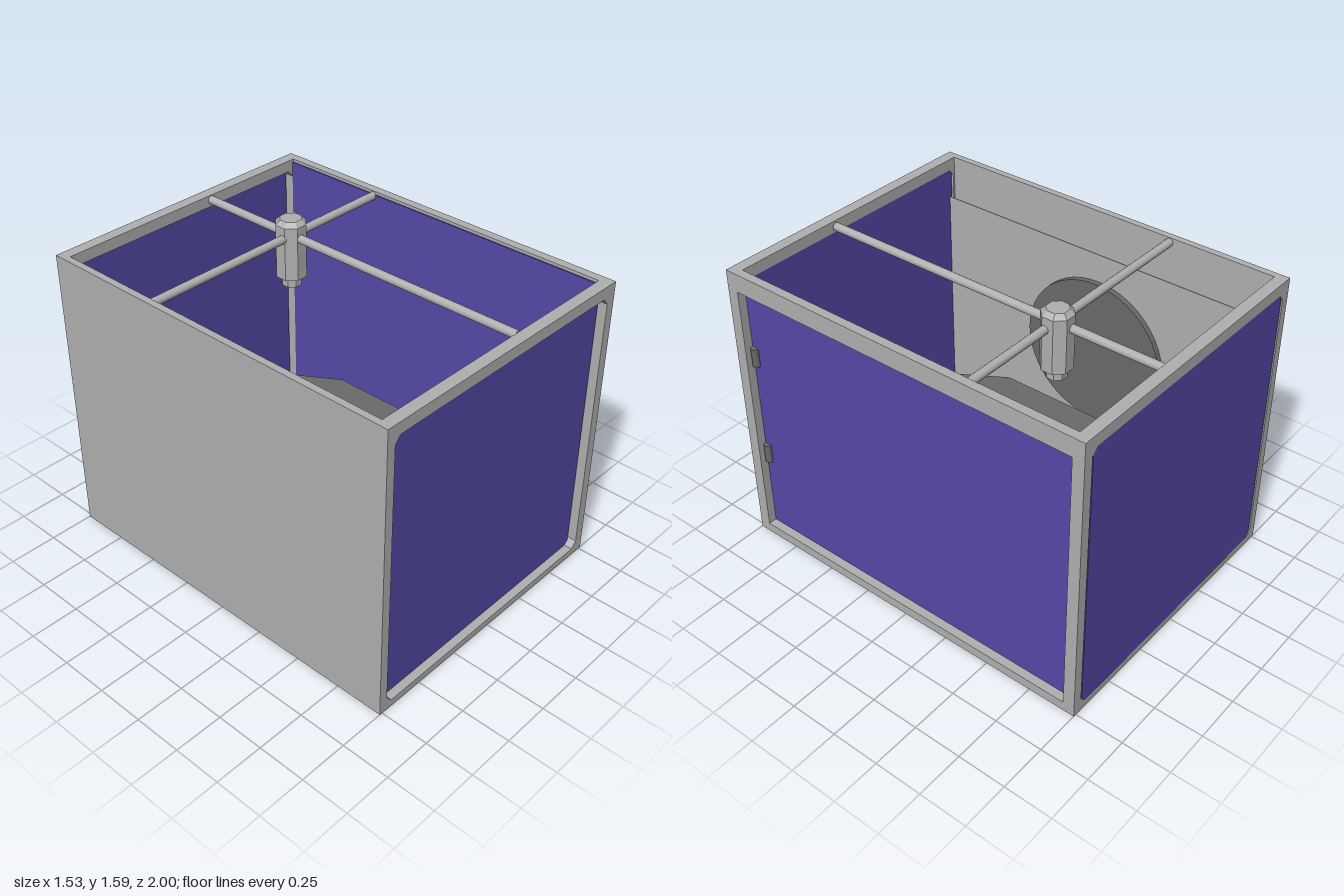
import * as THREE from 'three';

const grey = new THREE.MeshStandardMaterial({ color: 0xb0b0b0 });
const flatGrey = new THREE.MeshStandardMaterial({ color: 0xb0b0b0, flatShading: true });
const dark = new THREE.MeshStandardMaterial({ color: 0x6a6a6a });
const purple = new THREE.MeshStandardMaterial({ color: 0x5449a8 });

// Polygon from a rectangle with cut corners (cx, cy are the cut lengths)
function cutRect(x0, x1, y0, y1, cx, cy, Type = THREE.Shape) {
  return new Type([
    [x0 + cx, y0], [x1 - cx, y0], [x1, y0 + cy], [x1, y1 - cy],
    [x1 - cx, y1], [x0 + cx, y1], [x0, y1 - cy], [x0, y0 + cy],
  ].map(([x, y]) => new THREE.Vector2(x, y)));
}

function extrude(shape, depth) {
  return new THREE.ExtrudeGeometry(shape, { depth, bevelEnabled: false });
}

export function createModel() {
  const model = new THREE.Group();

  const add = (name, geometry, material, x = 0, y = 0, z = 0) => {
    const mesh = new THREE.Mesh(geometry, material);
    mesh.name = name;
    mesh.position.set(x, y, z);
    model.add(mesh);
    return mesh;
  };
  // Box given by its limits on each axis
  const box = (name, material, x0, x1, y0, y1, z0, z1) =>
    add(name, new THREE.BoxGeometry(x1 - x0, y1 - y0, z1 - z0), material,
      (x0 + x1) / 2, (y0 + y1) / 2, (z0 + z1) / 2);

  // Front and back frames; the front panel is recessed, the back one flush
  const frame = cutRect(-0.765, 0.765, 0, 1.53, 0, 0);
  frame.holes.push(cutRect(-0.72, 0.715, 0.035, 1.47, 0.03, 0.035, THREE.Path));
  const panel = cutRect(-0.708, 0.708, 0.035, 1.47, 0.02, 0.025);
  for (const [side, frameZ, panelZ] of [['front', 0.94, 0.942], ['back', -1, -0.999]]) {
    add(side + 'Frame', extrude(frame, 0.06), grey, 0, 0, frameZ);
    add(side + 'Panel', extrude(panel, 0.015), purple, 0, 0, panelZ);
  }

  // Floor, solid wall and the rails of the panelled side
  box('floor', grey, -0.765, 0.765, 0, 0.035, -0.94, 0.94);
  box('rightWall', grey, -0.765, -0.73, 0.035, 1.53, -0.94, 0.94);
  box('leftTopRail', grey, 0.72, 0.765, 1.435, 1.53, -0.94, 0.94);
  box('leftBottomRail', grey, 0.72, 0.765, 0.035, 0.05, -0.94, 0.94);
  box('leftPanel', purple, 0.713, 0.72, 0.035, 1.515, -0.94, 0.94);
  box('leftFloorStrip', grey, 0.69, 0.7, 0.035, 0.055, -0.94, 0.94);

  // Round hinges of the side panel
  for (const y of [0.5, 1.07]) {
    add('hinge', new THREE.CylinderGeometry(0.02, 0.02, 0.1, 16), dark, 0.725, y, 0.92);
  }

  // Inner wall lining with a round plate on it
  box('wallLining', grey, -0.695, -0.69, 0.035, 1.32, -0.94, 0.94);
  box('liningGutter', dark, -0.73, -0.695, 0.035, 0.05, -0.94, 0.94);
  const disc = add('wallDisc', new THREE.CylinderGeometry(0.405, 0.405, 0.03, 48), dark, -0.675, 0.765, -0.025);
  disc.rotation.z = Math.PI / 2;

  // Long eight-sided table on four legs
  const top = add('tableTop', extrude(cutRect(-0.515, 0.515, -0.805, 0.805, 0.255, 0.405), 0.05), dark, 0, 0.45, 0);
  top.rotation.x = -Math.PI / 2;
  for (const x of [-0.26, 0.26]) {
    for (const z of [-0.55, 0.55]) box('tableLeg', dark, x - 0.03, x + 0.03, 0.035, 0.45, z - 0.03, z + 0.03);
  }

  // Bench tucked under the table
  box('benchSeat', dark, -0.625, -0.4, 0.26, 0.3, -0.36, 0.32);
  for (const z of [-0.31, 0.27]) box('benchLeg', dark, -0.6, -0.42, 0.035, 0.26, z - 0.025, z + 0.025);

  // Crossed ceiling rods
  const crossRod = add('crossRod', new THREE.CylinderGeometry(0.021, 0.021, 1.45, 16), grey, -0.005, 1.505, -0.385);
  crossRod.rotation.z = Math.PI / 2;
  const longRod = add('longRod', new THREE.CylinderGeometry(0.021, 0.021, 1.875, 16), grey, 0.14, 1.505, -0.008);
  longRod.rotation.x = Math.PI / 2;

  // Eight-sided lantern where the rods cross
  const profile = [[0, 1.24], [0.05, 1.24], [0.05, 1.29], [0.078, 1.29],
    [0.078, 1.565], [0.054, 1.588], [0, 1.588]].map(([r, y]) => new THREE.Vector2(r, y));
  add('lantern', new THREE.LatheGeometry(profile, 8, Math.PI / 8), flatGrey, 0.15, 0, -0.4);

  return model;
}
